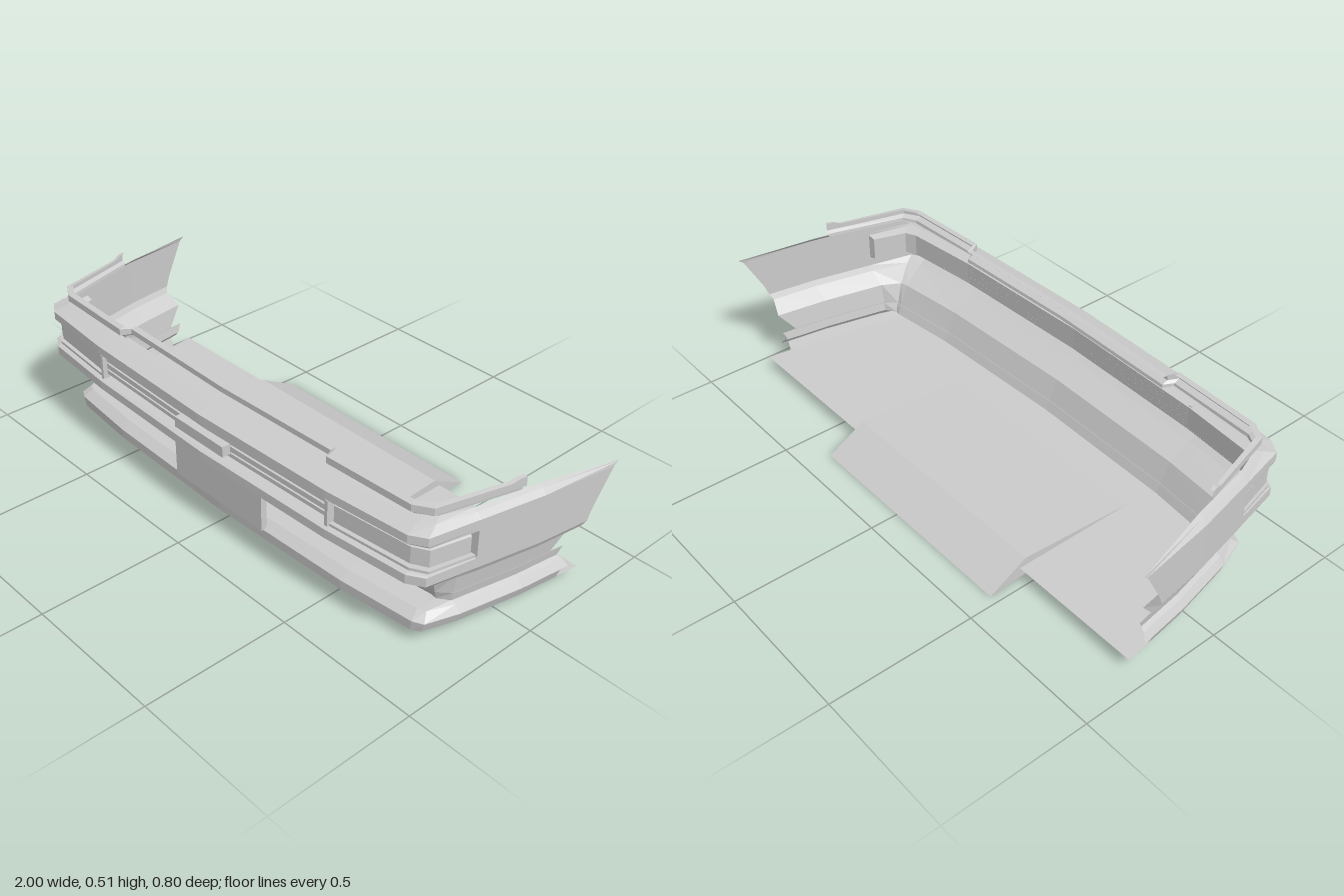
import * as THREE from 'three';

const mat = new THREE.MeshStandardMaterial({ color: 0xcccccc, flatShading: true, side: THREE.DoubleSide });

function add(group, name, geo) {
  const mesh = new THREE.Mesh(geo, mat);
  mesh.name = name;
  group.add(mesh);
  return mesh;
}

// Sheet through rows of [x, y, z] points, listed top to bottom, each running toward +x
function sheet(rows) {
  const pos = [];
  for (let i = 0; i < rows.length - 1; i++) {
    for (let j = 0; j < rows[i].length - 1; j++) {
      const a = rows[i][j], b = rows[i][j + 1], c = rows[i + 1][j], d = rows[i + 1][j + 1];
      pos.push(...a, ...c, ...b, ...b, ...c, ...d);
    }
  }
  const geo = new THREE.BufferGeometry();
  geo.setAttribute('position', new THREE.Float32BufferAttribute(pos, 3));
  geo.computeVertexNormals();
  return geo;
}

const flip = (row) => row.map(([x, y, z]) => [-x, y, z]).reverse();
const both = (row) => [...flip(row.slice(1)), ...row];

// Half plan outline: x, z, side inset weight, front inset weight
const PLAN = [
  [0, 0.40, 0, 1], [0.54, 0.385, 0, 1], [0.83, 0.36, 0.6, 1], [0.88, 0.33, 1, 0.8],
  [0.915, 0.17, 1, 0], [0.916, 0.168, 1, 0], [0.962, -0.05, 1, 0],
];

// Half outline at height y, inset at the front and side, ending at zRear;
// recess sinks only the part ahead of the lamp's rear edge
function outline({ y, front, side, zRear, recess = 0, drop = 0, taper = 1 }) {
  const row = PLAN.map(([x, z, wx, wz], i) => {
    const r = i < 5 ? recess : 0;
    return [x - wx * (side + r * 0.6), y, z - wz * (front + r)];
  });
  const xRear = 0.962 + ((-0.05 - zRear) / 0.275) * 0.038;
  row.push([xRear - side * taper, y - drop, zRear]);
  return row;
}

export function createModel() {
  const group = new THREE.Group();
  group.name = 'frontBumper';

  // Main band: sloping top, lamp and grille recess, lower lip, undercut
  const band = [
    { y: 0.460, front: 0.085, side: 0.03, zRear: -0.325, drop: 0.015, taper: 0.1 },
    { y: 0.453, front: 0.055, side: 0.016, zRear: -0.323, drop: 0.012, taper: 0.1 },
    { y: 0.436, front: 0, side: 0, zRear: -0.31, drop: 0.005 },
    { y: 0.408, front: 0, side: 0, zRear: -0.296 },
    { y: 0.400, front: 0.01, side: 0, zRear: -0.292 },
    { y: 0.393, front: 0.01, side: 0, zRear: -0.288, recess: 0.045 },
    { y: 0.313, front: 0.01, side: 0, zRear: -0.245, recess: 0.045 },
    { y: 0.306, front: 0.01, side: 0, zRear: -0.242 },
    { y: 0.302, front: 0, side: 0, zRear: -0.24 },
    { y: 0.272, front: 0, side: 0, zRear: -0.229 },
    { y: 0.252, front: 0.035, side: 0.01, zRear: -0.22 },
    { y: 0.213, front: 0.12, side: 0.06, zRear: -0.235 },
  ];
  add(group, 'bumperBand', sheet(band.map((r) => both(outline(r)))));

  // Apron with a notched rear edge
  const apron = [
    { y: 0.213, front: 0.12, side: 0.06, zRear: -0.235 },
    { y: 0.143, front: 0.152, side: 0.07, zRear: -0.18 },
    { y: 0.140, front: 0.154, side: 0.07, zRear: -0.23 },
    { y: 0.110, front: 0.168, side: 0.075, zRear: -0.215 },
  ];
  add(group, 'apron', sheet(apron.map((r) => both(outline(r)))));

  // Projecting lip around the bottom
  const lip = [
    { y: 0.110, front: 0.168, side: 0.075, zRear: -0.215 },
    { y: 0.103, front: 0.10, side: 0.06, zRear: -0.22 },
    { y: 0.080, front: 0.068, side: 0.043, zRear: -0.23 },
    { y: 0.078, front: 0.068, side: 0.043, zRear: -0.2 },
    { y: 0.045, front: 0.07, side: 0.055, zRear: -0.2 },
  ];
  add(group, 'lowerLip', sheet(lip.map((r) => both(outline(r)))));

  // Flat undertray closing the bottom
  const edge = both(outline({ y: 0, front: 0.07, side: 0.055, zRear: -0.285 }));
  const tray = new THREE.ShapeGeometry(new THREE.Shape(edge.map(([x, , z]) => new THREE.Vector2(x, -z))));
  tray.rotateX(-Math.PI / 2);
  add(group, 'undertray', tray).position.y = 0.046;

  // Off-centre wedge under the tray
  const wedge = new THREE.Shape([[0.155, 0.047], [-0.262, 0.075], [-0.4, 0], [0.02, 0.031], [0.07, 0.044]]
    .map(([z, y]) => new THREE.Vector2(z, y)));
  const duct = new THREE.ExtrudeGeometry(wedge, { depth: 0.85, bevelEnabled: false });
  duct.rotateY(-Math.PI / 2);
  add(group, 'underWedge', duct).position.x = 0.38;

  // Upper rail, stepped back and slightly lower in the middle
  const railPlan = [[0, 0.308, 0, 1, -0.004], [0.47, 0.296, 0, 1, -0.004], [0.487, 0.33, 0, 1, 0],
    [0.80, 0.318, 0.4, 1, 0], [0.855, 0.285, 1, 0.7, 0], [0.918, 0.045, 1, 0, -0.002],
    [0.925, 0.02, 1, 0, 0.008], [0.93, 0, 1, 0, 0.008]];
  const railRows = [[0.5, 0.022, 1], [0.498, 0, 1], [0.475, 0, 0], [0.467, 0.02, 0], [0.456, 0.022, 0]];
  add(group, 'upperRail', sheet(railRows.map(([y, d, top]) =>
    both(railPlan.map(([x, z, wx, wz, dy]) => [x - wx * d * 0.6, y + dy * top, z - wz * d])))));

  // Wraparound corner lamps: raised lens inside a thin frame
  const lampRow = (y, d, inX, outZ) => {
    const p = outline({ y, front: 0.01, side: 0, zRear: -0.2, recess: d }).slice(1, 4);
    p[0][0] = inX;
    const t = (0.33 - outZ) / 0.16;
    return [...p, [0.88 + 0.035 * t - d * 0.6, y, outZ]];
  };
  const lensRows = [[0.392, 0.045], [0.383, 0.012], [0.326, 0.012], [0.315, 0.045]]
    .map(([y, d]) => {
      const row = lampRow(y, d, 0.556, 0.184);
      const start = lampRow(y, 0.045, 0.548, 0.176);
      return [start[0], ...row, start[3]];
    });
  const frameRows = [[0.318, 0.045], [0.318, 0.004], [0.309, 0.004]].map(([y, d]) => lampRow(y, d, 0.535, 0.172));
  for (const [side, f] of [['left', (r) => r], ['right', flip]]) {
    add(group, side + 'Lamp', sheet(lensRows.map(f)));
    add(group, side + 'LampSill', sheet(frameRows.map(f)));
    const post = add(group, side + 'LampPost', new THREE.BoxGeometry(0.012, 0.088, 0.042));
    post.position.set(side === 'left' ? 0.538 : -0.538, 0.353, 0.356);
  }

  // Grille bars between the lamps, following the shallow nose
  for (const [y, h] of [[0.378, 0.010], [0.354, 0.013], [0.331, 0.010]]) {
    const rows = [[h, 0.045], [h, 0.015], [-h, 0.015], [-h, 0.045]].map(([dy, d]) =>
      both([[0, y + dy * 0.7, 0.39 - d], [0.535, y + dy * 0.7, 0.375 - d]]));
    add(group, 'grilleBar', sheet(rows));
  }

  // Plain block in the grille centre
  const block = add(group, 'grilleBlock', new THREE.BoxGeometry(0.23, 0.037, 0.035));
  block.position.set(0, 0.354, 0.384);

  // Blank plate panel on the apron
  const plate = add(group, 'platePanel', new THREE.BoxGeometry(0.42, 0.145, 0.022));
  plate.position.set(0, 0.153, 0.324);

  return group;
}
